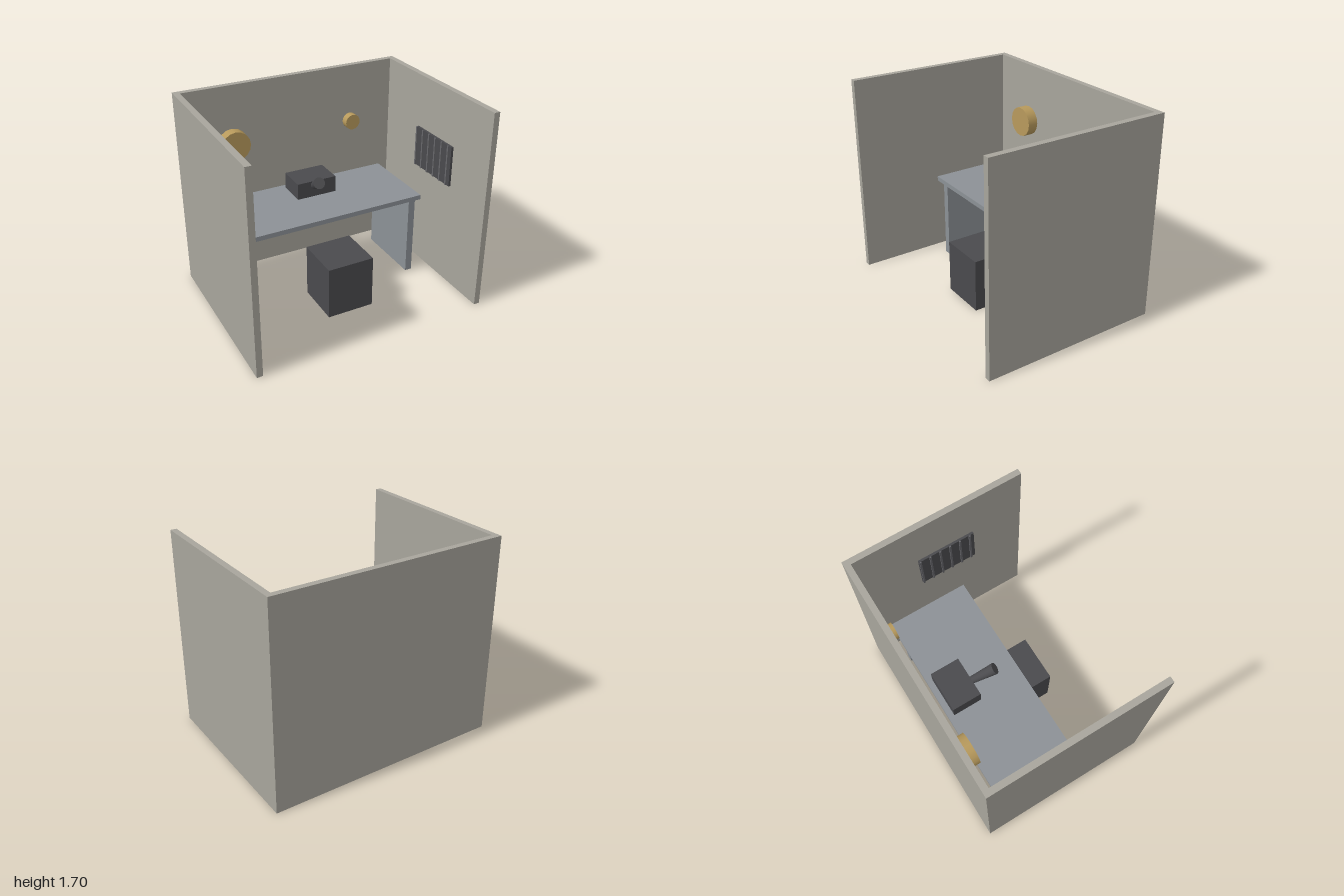
import * as THREE from 'three';

const material = (color) => new THREE.MeshStandardMaterial({ color });

export function createModel() {
  const model = new THREE.Group();
  const wallMat = material(0xa8a59c);
  const deskMat = material(0x8c9196);
  const darkMat = material(0x4a4a4d);
  const barMat = material(0x66666a);
  const brassMat = material(0xb89a5c);

  const add = (name, geometry, mat) => {
    const mesh = new THREE.Mesh(geometry, mat);
    mesh.name = name;
    model.add(mesh);
    return mesh;
  };

  // Box given by its lower and upper corners
  const box = (name, mat, [x0, y0, z0], [x1, y1, z1]) =>
    add(name, new THREE.BoxGeometry(x1 - x0, y1 - y0, z1 - z0), mat)
      .position.set((x0 + x1) / 2, (y0 + y1) / 2, (z0 + z1) / 2);

  // Booth walls
  box('backWall', wallMat, [-1, 0, -0.75], [1, 1.7, -0.7]);
  box('rightWall', wallMat, [-1, 0, -0.7], [-0.95, 1.7, 0.75]);
  box('leftWall', wallMat, [0.95, 0, -0.7], [1, 1.7, 0.75]);

  // Desk with panel legs
  box('deskTop', deskMat, [-0.8, 0.72, -0.6], [0.8, 0.76, 0.1]);
  box('rightDeskLeg', deskMat, [-0.78, 0, -0.55], [-0.72, 0.72, 0.05]);
  box('leftDeskLeg', deskMat, [0.72, 0, -0.55], [0.78, 0.72, 0.05]);

  // Seat block
  box('seat', darkMat, [-0.2, 0, -0.05], [0.2, 0.45, 0.35]);

  // Desk device with a flared horn pointing up and forward
  box('deviceBody', darkMat, [-0.15, 0.76, -0.55], [0.2, 0.9, -0.3]);
  const start = new THREE.Vector3(0.002, 0.857, -0.305);
  const end = new THREE.Vector3(-0.05, 0.978, -0.107);
  const axis = end.clone().sub(start);
  const horn = add('horn', new THREE.CylinderGeometry(0.048, 0.03, axis.length(), 16), darkMat);
  horn.position.copy(start).lerp(end, 0.5);
  horn.quaternion.setFromUnitVectors(new THREE.Vector3(0, 1, 0), axis.normalize());

  // Round brass fittings on the back wall
  const disc = (name, x, radius, depth) => {
    const mesh = add(name, new THREE.CylinderGeometry(radius, radius, depth, 16), brassMat);
    mesh.rotation.x = Math.PI / 2;
    mesh.position.set(x, 1.2, -0.7 + depth / 2);
  };
  disc('largeWallDisc', -0.55, 0.128, 0.09);
  disc('smallWallDisc', 0.55, 0.068, 0.065);

  // Vent on the left wall with upright bars
  box('ventPlate', darkMat, [0.93, 0.9, -0.2], [0.95, 1.25, 0.3]);
  for (let i = 0; i < 6; i++) {
    const z = -0.19 + i * 0.09;
    box('ventBar', barMat, [0.92, 0.9, z - 0.008], [0.93, 1.25, z + 0.008]);
  }

  return model;
}
